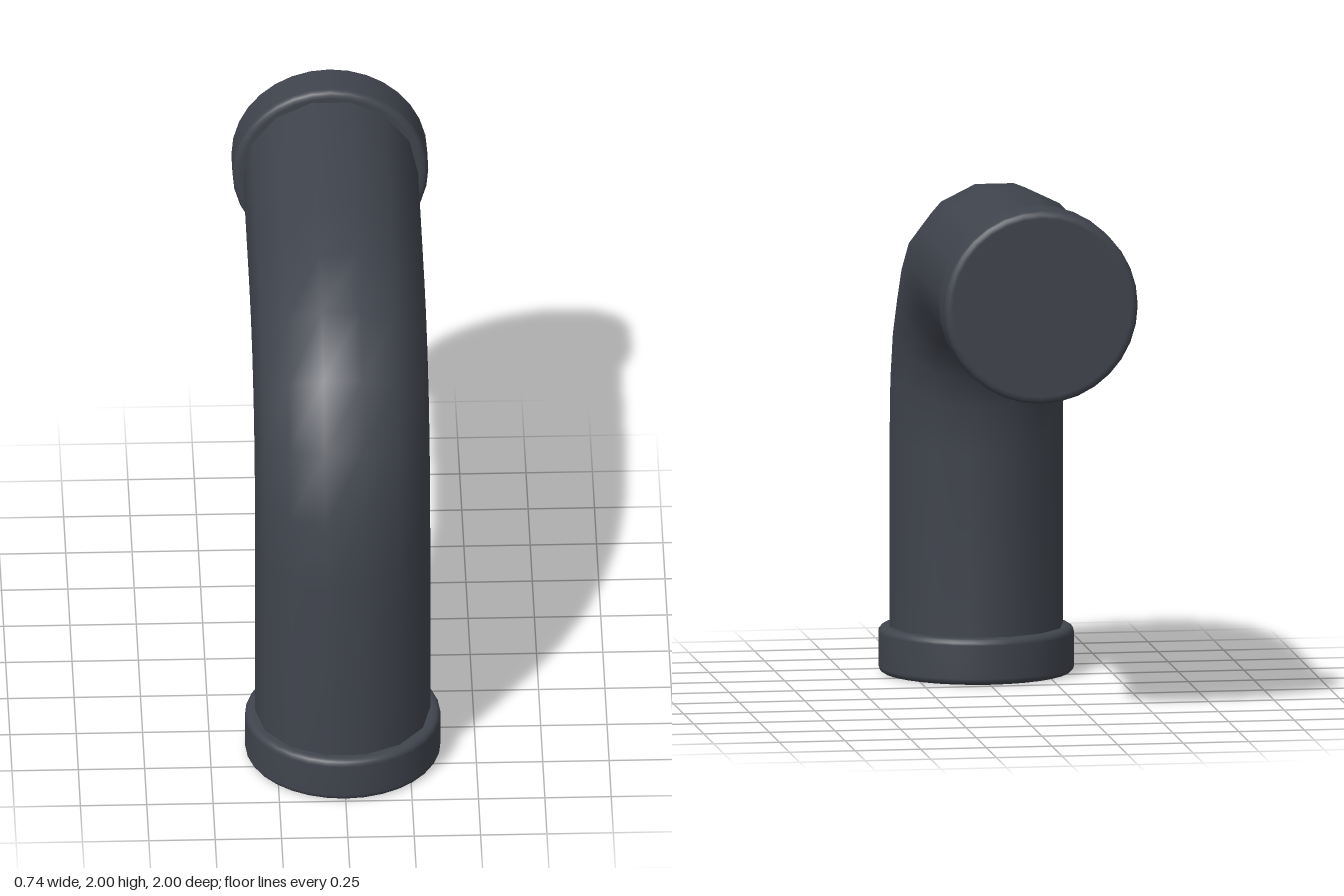
import * as THREE from 'three';

const SIDES = 14, RADIUS = 0.33, AXIS = 0.631;

// Sweep of rings: two straight legs joined by a quadratic bend
function pipeGeometry() {
  const top = 2 - (1 - AXIS);
  const curve = new THREE.QuadraticBezierCurve(
    new THREE.Vector2(AXIS, 0.9), new THREE.Vector2(AXIS, top), new THREE.Vector2(-0.11, top));
  const rings = [{ z: AXIS, y: 0.08, tilt: 0 }];
  for (let i = 0; i <= 6; i++) {
    const t = i / 6, p = curve.getPoint(t);
    let tilt = Math.atan2(t, 1 - t);
    if (i === 0) tilt = 0.05;
    if (i === 6) tilt -= 0.05;
    rings.push({ z: p.x, y: p.y, tilt });
  }
  rings.push({ z: -0.92, y: top, tilt: Math.PI / 2 });

  const pos = [], nor = [], idx = [];
  rings.forEach(({ z, y, tilt }, i) => {
    for (let j = 0; j < SIDES; j++) {
      const a = (j / SIDES) * Math.PI * 2;
      const n = [Math.cos(a), Math.sin(a) * Math.sin(tilt), Math.sin(a) * Math.cos(tilt)];
      nor.push(...n);
      pos.push(n[0] * RADIUS, y + n[1] * RADIUS, z + n[2] * RADIUS);
      if (i < rings.length - 1) {
        const k = (j + 1) % SIDES;
        const p = i * SIDES + j, q = i * SIDES + k;
        idx.push(p, p + SIDES, q, q, p + SIDES, q + SIDES);
      }
    }
  });
  const g = new THREE.BufferGeometry();
  g.setAttribute('position', new THREE.Float32BufferAttribute(pos, 3));
  g.setAttribute('normal', new THREE.Float32BufferAttribute(nor, 3));
  g.setIndex(idx);
  return g;
}

// Closed collar with rounded rims
function collarGeometry() {
  const R = 0.369, H = 0.177, b = 0.025;
  const pts = [new THREE.Vector2(0, 0), new THREE.Vector2(R - b - 0.004, 0)];
  for (const [cy, start] of [[b, -Math.PI / 2], [H - b, 0]]) {
    for (let i = 0; i <= 4; i++) {
      const a = start + (i / 4) * (Math.PI / 2);
      pts.push(new THREE.Vector2(R - b + b * Math.cos(a), cy + b * Math.sin(a)));
    }
  }
  pts.push(new THREE.Vector2(R - b - 0.004, H), new THREE.Vector2(0, H));
  return new THREE.LatheGeometry(pts, 32);
}

export function createModel() {
  const group = new THREE.Group();
  group.name = 'pipeElbow';
  const metal = new THREE.MeshStandardMaterial({ color: 0x40444d });
  metal.name = 'dark grey metal';

  const add = (name, geometry) => {
    const mesh = new THREE.Mesh(geometry, metal);
    mesh.name = name;
    group.add(mesh);
    return mesh;
  };

  add('bentPipe', pipeGeometry());
  const collar = collarGeometry();
  add('bottomCollar', collar).position.set(0, 0, AXIS);
  const back = add('backCollar', collar);
  back.position.set(0, 1 + AXIS, -1);
  back.rotation.x = Math.PI / 2;
  return group;
}
